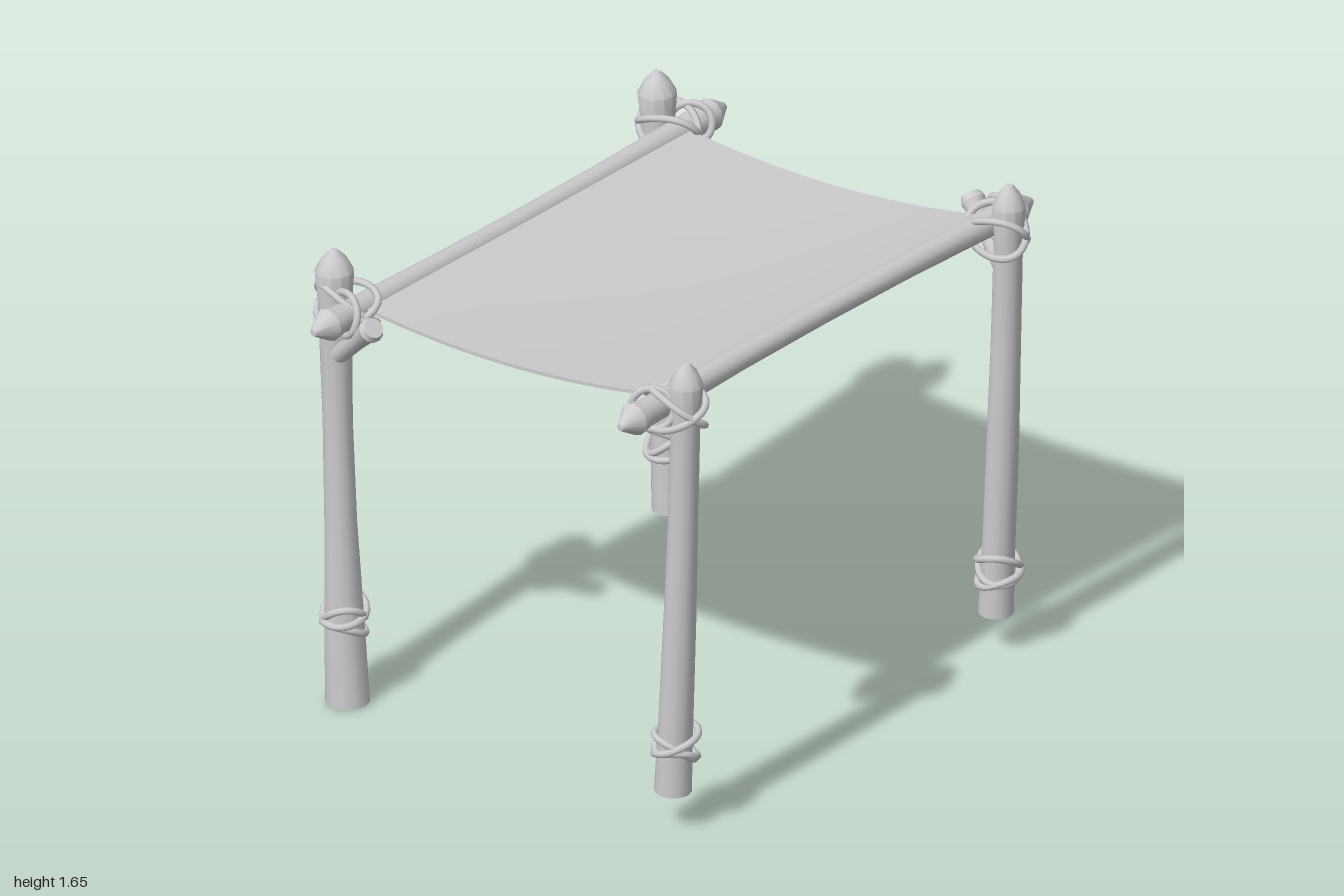
import * as THREE from 'three';
import { toCreasedNormals } from 'three/addons/utils/BufferGeometryUtils.js';

const V = (x, y, z) => new THREE.Vector3(x, y, z);
const material = new THREE.MeshStandardMaterial({ color: 0xcccccc });
const clothMaterial = new THREE.MeshStandardMaterial({ color: 0xcccccc, side: THREE.DoubleSide });

// Round log between two points; profile rows are [radius, fraction of length]
function log(name, from, to, profile, bend = V(0, 0, 0)) {
  const axis = to.clone().sub(from);
  const length = axis.length();
  let geo = new THREE.LatheGeometry(profile.map(([r, t]) => new THREE.Vector2(r, t * length)), 12);
  const turn = new THREE.Quaternion().setFromUnitVectors(V(0, 1, 0), axis.normalize());
  const pos = geo.attributes.position;
  const p = V(0, 0, 0);
  for (let i = 0; i < pos.count; i++) {
    p.fromBufferAttribute(pos, i);
    const t = p.y / length;
    p.applyQuaternion(turn).add(from).addScaledVector(bend, Math.sin(Math.PI * t));
    pos.setXYZ(i, p.x, p.y, p.z);
  }
  geo = toCreasedNormals(geo, 0.6);
  const mesh = new THREE.Mesh(geo, material);
  mesh.name = name;
  return mesh;
}

// Closed rope loop spanned by two half-axes
function ropeLoop(name, center, a, b, wobble = 0) {
  const points = [];
  const normal = a.clone().cross(b).normalize();
  for (let i = 0; i < 16; i++) {
    const t = (i / 16) * Math.PI * 2;
    points.push(center.clone().addScaledVector(a, Math.cos(t)).addScaledVector(b, Math.sin(t))
      .addScaledVector(normal, wobble * Math.sin(2 * t)));
  }
  const curve = new THREE.CatmullRomCurve3(points, true);
  const mesh = new THREE.Mesh(new THREE.TubeGeometry(curve, 40, 0.012, 7, true), material);
  mesh.name = name;
  return mesh;
}

// Sagging cloth stretched between the two beams
function makeCanopy() {
  const geo = new THREE.BoxGeometry(1.57, 0.012, 1.2, 16, 1, 20);
  const pos = geo.attributes.position;
  for (let i = 0; i < pos.count; i++) {
    const x = pos.getX(i), z = pos.getZ(i);
    const sag = 0.014 * (1 - (x / 0.785) ** 2) * (1 - (z / 0.6) ** 2);
    pos.setY(i, pos.getY(i) + 1.388 + 0.135 * (z + 0.3) ** 2 - sag);
  }
  const mesh = new THREE.Mesh(toCreasedNormals(geo, 0.7), clothMaterial);
  mesh.name = 'canopyCloth';
  return mesh;
}

export function createModel() {
  const model = new THREE.Group();
  model.name = 'canopyShelter';

  // Uneven corner posts with pointed tops, each bound with rope
  const corners = [
    { name: 'frontRight', x: -0.787, side: 1, bottom: 0.13, top: 1.65, foot: 0.06, head: 0.055 },
    { name: 'frontLeft', x: 0.782, side: 1, bottom: 0.13, top: 1.65, foot: 0.057, head: 0.054 },
    { name: 'backRight', x: -0.787, side: -1, bottom: 0, top: 1.57, foot: 0.071, head: 0.063 },
    { name: 'backLeft', x: 0.782, side: -1, bottom: 0.05, top: 1.57, foot: 0.06, head: 0.063 },
  ];
  for (const c of corners) {
    const shaft = c.head * 0.86;
    const h = c.top - c.bottom;
    model.add(log(c.name + 'Post', V(c.x, c.bottom, c.side * 0.662), V(c.x, c.top, c.side * 0.718), [
      [0, 0], [c.foot, 0], [c.foot * 0.93, 0.13], [0.052, 0.4], [0.048, 0.62], [shaft, 0.88],
      [c.head, 1 - 0.075 / h], [c.head * 0.62, 1 - 0.03 / h], [0.012, 1 - 0.002 / h], [0, 1],
    ], V(0, 0, c.side * 0.006)));

    // Rope wrapped around the lower post
    const ropes = new THREE.Group();
    ropes.name = c.name + 'Ropes';
    [[0.265, 0.02, 0.01], [0.315, -0.03, 0.012], [0.295, 0.03, -0.03]].forEach(([y, tx, tz], i) => {
      const r = i === 2 ? 0.064 : 0.068;
      ropes.add(ropeLoop('footRope', V(c.x, y, c.side * 0.674), V(r, tx * Math.sign(c.x), 0),
        V(0, tz * c.side, r), 0.006));
    });

    // Crossed lashing holding post and beam together
    const beamY = c.side > 0 ? 1.475 : 1.39;
    const s = Math.sign(c.x);
    const mid = V(c.x, beamY, c.side * 0.667);
    ropes.add(ropeLoop('lashing', mid, V(s * 0.066, -0.055, 0), V(0, 0.02, 0.112), 0.008));
    ropes.add(ropeLoop('lashing', mid, V(s * 0.062, 0.06, 0), V(0, -0.02, 0.11), -0.008));
    ropes.add(ropeLoop('beamRope', V(c.x + s * 0.055, beamY + 0.005, c.side * 0.625),
      V(0.012, 0.066, 0), V(s * c.side * -0.025, 0, 0.066), 0.004));
    model.add(ropes);
  }

  // Cross beams with pointed ends
  const beamProfile = [
    [0, 0], [0.012, 0.001], [0.054, 0.036], [0.046, 0.06], [0.043, 0.15], [0.039, 0.3], [0.038, 0.5],
    [0.039, 0.7], [0.043, 0.85], [0.046, 0.94], [0.054, 0.964], [0.012, 0.999], [0, 1],
  ];
  model.add(log('frontBeam', V(-1, 1.475, 0.623), V(1, 1.475, 0.623), beamProfile, V(0, 0, -0.018)));
  model.add(log('backBeam', V(-1, 1.39, -0.625), V(1, 1.39, -0.625), beamProfile, V(0, 0, 0.01)));

  // Short diagonal braces at two opposite corners
  const braceProfile = [[0, 0], [0.03, 0], [0.029, 0.5], [0.032, 0.8], [0.041, 0.92], [0.032, 1], [0, 1]];
  model.add(log('frontBrace', V(0.81, 1.315, 0.675), V(0.882, 1.495, 0.475), braceProfile));
  model.add(log('backBrace', V(-0.81, 1.225, -0.675), V(-0.882, 1.41, -0.475), braceProfile));

  model.add(makeCanopy());
  return model;
}
